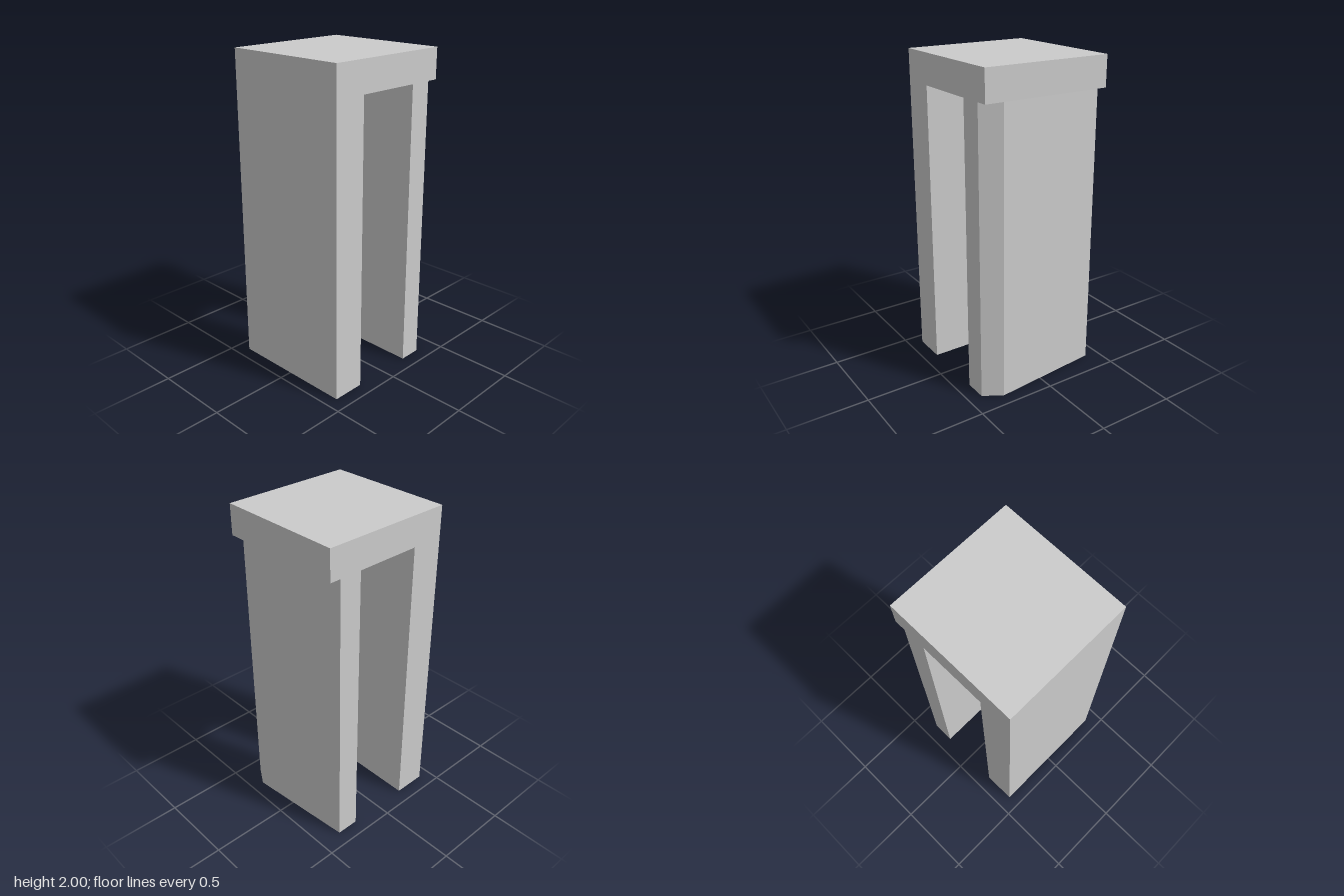
import * as THREE from 'three';

const material = new THREE.MeshStandardMaterial({ color: 0xcccccc, flatShading: true });

// Vertical prism from a plan outline of [x, z] points
function prism(name, outline, y0, y1) {
  const shape = new THREE.Shape(outline.map(([x, z]) => new THREE.Vector2(x, -z)));
  const geometry = new THREE.ExtrudeGeometry(shape, { depth: y1 - y0, bevelEnabled: false });
  geometry.rotateX(-Math.PI / 2).translate(0, y0, 0);
  const mesh = new THREE.Mesh(geometry, material);
  mesh.name = name;
  return mesh;
}

const rectangle = (x0, x1, z) => [[x0, z], [x1, z], [x1, -z], [x0, -z]];

export function createModel() {
  const group = new THREE.Group();
  group.name = 'archBlock';
  const halfW = 0.42, halfD = 0.41, lintelY = 1.81;

  // Flat slab bridging the two legs
  group.add(prism('lintel', rectangle(-halfW, halfW, halfD), lintelY, 2));

  // Plain leg, flush with the slab
  group.add(prism('rightLeg', rectangle(-halfW, -0.21, halfD), 0, lintelY));

  // Leg with an angled outer side that peaks near the front
  group.add(prism('leftLeg', [
    [0.205, halfD], [0.348, halfD], [0.419, 0.293], [0.35, -halfD], [0.205, -halfD],
  ], 0, lintelY));

  return group;
}
